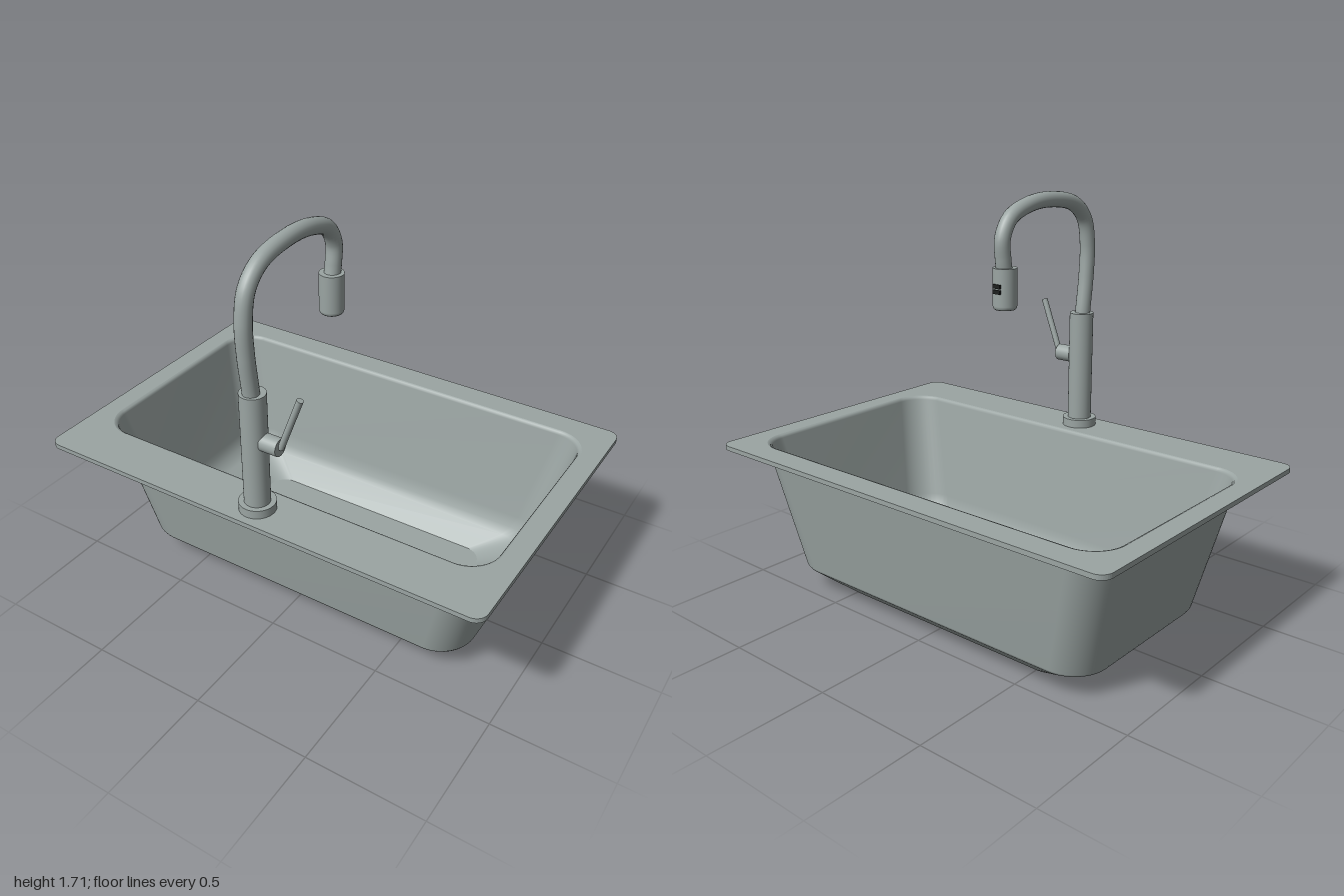
import * as THREE from 'three';

const steel = new THREE.MeshStandardMaterial({ color: 0x9ba5a3 });
steel.name = 'brushed steel';
const steelOpen = steel; // every open surface is wound to face its visible side
const dark = new THREE.MeshStandardMaterial({ color: 0x1c1f1e });
dark.name = 'dark recess';

const BOWL_Z = -0.052, DRAIN_Z = -0.06, TAP_Z = 0.563;

// Rounded rectangle outline in (x, z)
function outline(hx, hz, r, cz = 0, n = 10) {
  const pts = [];
  [[1, 1], [-1, 1], [-1, -1], [1, -1]].forEach(([sx, sz], q) => {
    for (let i = 0; i <= n; i++) {
      const a = (q + i / n) * Math.PI / 2;
      pts.push(new THREE.Vector2(sx * (hx - r) + r * Math.cos(a), cz + sz * (hz - r) + r * Math.sin(a)));
    }
  });
  return pts;
}

// Skin through rounded rectangles; faces outward when rings rise, inward when they descend
function loft(rings) {
  const pos = [], idx = [];
  let n = 0;
  rings.forEach(([hx, hz, r, y]) => {
    const pts = outline(hx, hz, r, BOWL_Z);
    n = pts.length;
    pts.forEach(p => pos.push(p.x, y, p.y));
  });
  for (let i = 0; i < rings.length - 1; i++) {
    for (let j = 0; j < n; j++) {
      const a = i * n + j, c = i * n + (j + 1) % n;
      idx.push(a, a + n, c, c, a + n, c + n);
    }
  }
  const g = new THREE.BufferGeometry();
  g.setAttribute('position', new THREE.Float32BufferAttribute(pos, 3));
  g.setIndex(idx);
  g.computeVertexNormals();
  return g;
}

// Horizontal plate with a hole, hanging down from its top height
function plate(pts, holePts, top, depth) {
  const s = new THREE.Shape(pts);
  s.holes.push(new THREE.Path(holePts));
  const g = new THREE.ExtrudeGeometry(s, { depth, bevelEnabled: false });
  return g.rotateX(Math.PI / 2).translate(0, top, 0);
}

const circle = (r, cz) => outline(r, r, r - 0.0001, cz);

export function createModel() {
  const model = new THREE.Group();
  model.name = 'kitchenSink';
  const add = (parent, name, geo, mat = steel, x = 0, y = 0, z = 0) => {
    const m = new THREE.Mesh(geo, mat);
    m.name = name;
    m.position.set(x, y, z);
    parent.add(m);
    return m;
  };

  // Basin: rim, outer and inner skins, floor
  const basin = new THREE.Group();
  basin.name = 'basin';
  model.add(basin);
  add(basin, 'rim', plate(outline(1, 0.67, 0.05), outline(0.915, 0.508, 0.14, BOWL_Z), 0.655, 0.02));
  add(basin, 'outerWall', loft([
    [0.6, 0.318, 0.1, 0], [0.785, 0.426, 0.15, 0.094],
    [0.792, 0.432, 0.15, 0.106], [0.915, 0.508, 0.14, 0.64],
  ]), steelOpen);
  add(basin, 'innerWall', loft([
    [0.915, 0.508, 0.14, 0.655], [0.905, 0.498, 0.132, 0.651], [0.899, 0.492, 0.128, 0.64],
    [0.796, 0.428, 0.14, 0.19], [0.776, 0.412, 0.14, 0.135],
    [0.735, 0.39, 0.13, 0.095], [0.56, 0.303, 0.08, 0.02],
  ]), steelOpen);
  add(basin, 'floor', plate(outline(0.56, 0.303, 0.08, BOWL_Z), circle(0.07, DRAIN_Z), 0.02, 0.012));
  add(basin, 'underside', plate(outline(0.6, 0.318, 0.1, BOWL_Z), circle(0.06, DRAIN_Z), 0.006, 0.006));

  // Drain with strainer bars
  const drain = new THREE.Group();
  drain.name = 'drain';
  drain.position.set(0, 0, DRAIN_Z);
  model.add(drain);
  add(drain, 'drainRing', new THREE.TorusGeometry(0.073, 0.007, 8, 40).rotateX(Math.PI / 2), steel, 0, 0.02);
  add(drain, 'drainWell', new THREE.CylinderGeometry(0.069, 0.069, 0.003, 40), dark, 0, 0.0085);
  for (let i = -3; i <= 3; i++) {
    const z = i * 0.0185;
    const w = 2 * Math.sqrt(0.069 ** 2 - z * z);
    add(drain, 'strainerBar', new THREE.BoxGeometry(w, 0.006, 0.007), steel, 0, 0.014, z);
  }

  // Tap: flange, column and curved spout
  const tap = new THREE.Group();
  tap.name = 'tap';
  model.add(tap);
  add(tap, 'flange', new THREE.CylinderGeometry(0.074, 0.074, 0.036, 40), steel, 0, 0.673, TAP_Z);
  add(tap, 'column', new THREE.CylinderGeometry(0.052, 0.052, 0.485, 40), steel, 0, 0.9275, TAP_Z);
  const path = new THREE.CatmullRomCurve3([
    [1.12, 0.567], [1.18, 0.572], [1.33, 0.59], [1.47, 0.594], [1.58, 0.568], [1.65, 0.49],
    [1.681, 0.32], [1.668, 0.17], [1.625, 0.065], [1.55, 0.02], [1.47, 0.024], [1.4, 0.036],
  ].map(([y, z]) => new THREE.Vector3(0, y, z)));
  add(tap, 'spout', new THREE.TubeGeometry(path, 72, 0.033, 20));

  // Spray head, hollow underneath
  const head = new THREE.Group();
  head.name = 'sprayHead';
  head.position.set(0, 0, 0.036);
  tap.add(head);
  const shell = [[0.034, 1.29], [0.034, 1.27], [0.043, 1.266], [0.048, 1.272], [0.05, 1.282], [0.05, 1.434]];
  add(head, 'headShell', new THREE.LatheGeometry(shell.map(p => new THREE.Vector2(...p)), 40));
  add(head, 'headTop', new THREE.CircleGeometry(0.05, 40).rotateX(-Math.PI / 2), steel, 0, 1.434);
  add(head, 'nozzle', new THREE.CircleGeometry(0.035, 32).rotateX(Math.PI / 2), steel, 0, 1.288);
  // Thumb button on the back of the head
  for (const y of [1.342, 1.364]) {
    add(head, 'headButton', new THREE.BoxGeometry(0.036, 0.017, 0.009), dark, 0, y, -0.05);
  }

  // Side handle: hub and slanted lever
  add(tap, 'handleHub', new THREE.CylinderGeometry(0.036, 0.036, 0.075, 32).rotateZ(Math.PI / 2),
    steel, 0.0785, 0.973, TAP_Z);
  const lever = add(tap, 'lever', new THREE.CylinderGeometry(0.013, 0.013, 0.25, 20),
    steel, 0.163, 1.088, TAP_Z);
  lever.rotation.z = -Math.atan2(0.09, 0.235);

  return model;
}
